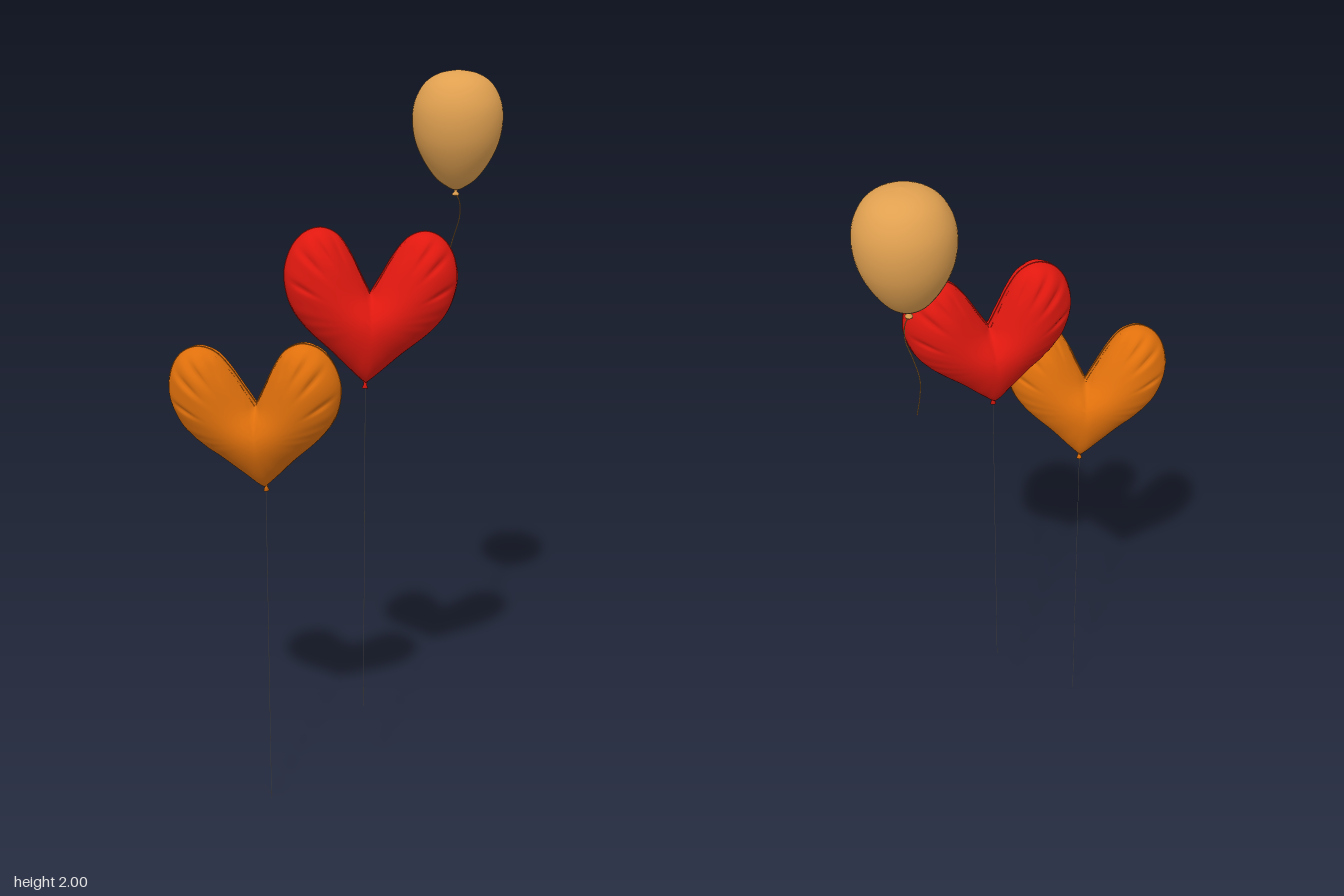
import * as THREE from 'three';
import { mergeVertices } from 'three/addons/utils/BufferGeometryUtils.js';

const V2 = (x, y) => new THREE.Vector2(x, y);
const V3 = (x, y, z) => new THREE.Vector3(x, y, z);
const material = (color) => new THREE.MeshStandardMaterial({ color });

function addMesh(parent, name, geometry, mat) {
  const mesh = new THREE.Mesh(geometry, mat);
  mesh.name = name;
  parent.add(mesh);
  return mesh;
}

// Closed heart outline, counter-clockwise, tip at the origin
function heartOutline(perHalf) {
  const half = new THREE.SplineCurve([
    [0, 0], [0.03, 0.025], [0.09, 0.08], [0.16, 0.14], [0.205, 0.2], [0.224, 0.275], [0.212, 0.34],
    [0.18, 0.385], [0.135, 0.402], [0.09, 0.385], [0.055, 0.34], [0.025, 0.285], [0, 0.24],
  ].map(([x, y]) => V2(x, y))).getSpacedPoints(perHalf);
  const mirrored = half.slice(1, -1).reverse().map((p) => V2(-p.x, p.y));
  return [...half, ...mirrored];
}

// Smooth distance to the outline, used to puff up the foil
function softDistance(x, y, outline, step) {
  let sum = 0;
  for (const q of outline) sum += step / Math.pow((x - q.x) ** 2 + (y - q.y) ** 2 + 1e-9, 1.5);
  return Math.sqrt(2 / sum);
}

function heartGeometry(outline, depth) {
  const rings = 26, n = outline.length;
  const centre = V2(0, 0.17);
  const step = outline.reduce((len, p, i) => len + p.distanceTo(outline[(i + 1) % n]), 0) / n;
  const bump = (v, width) => Math.exp(-((v / width) ** 2));
  const tucks = [0.24, 0.3, 0.335, 0.37, 0.63, 0.665, 0.7, 0.76];
  const points = [];
  let highest = 0;
  for (let r = 0; r <= rings; r++) {
    const s = 1 - Math.pow(1 - r / rings, 1.6);
    for (let i = 0; i < n; i++) {
      const p = centre.clone().lerp(outline[i], s);
      let z = r === rings ? 0 : Math.sqrt(softDistance(p.x, p.y, outline, step));
      highest = Math.max(highest, z);
      // fine puckers at the seam, tucks on the lobes, a fold below the cleft
      const u = i / n;
      z *= 1 + 0.035 * s ** 5 * Math.sin(u * 150 + 2 * Math.sin(u * 37));
      for (const t of tucks) z *= 1 - 0.12 * bump(u - t, 0.006) * bump(s - 0.82, 0.14);
      z *= 1 - 0.13 * bump(p.x, 0.012) * bump(p.y - 0.24, 0.07);
      points.push(p.x, p.y, z);
    }
  }
  const positions = [], index = [];
  for (const side of [1, -1]) {
    const base = positions.length / 3;
    for (let k = 0; k < points.length; k += 3) {
      positions.push(points[k], points[k + 1], side * points[k + 2] * depth / highest);
    }
    for (let r = 0; r < rings; r++) {
      for (let i = 0; i < n; i++) {
        const a = base + r * n + i, b = base + r * n + (i + 1) % n;
        const c = a + n, d = b + n;
        const faces = r === 0 ? [[a, c, d]] : [[a, c, d], [a, d, b]];
        for (const [f, g, h] of faces) index.push(...(side > 0 ? [f, g, h] : [f, h, g]));
      }
    }
  }
  const geometry = new THREE.BufferGeometry();
  geometry.setAttribute('position', new THREE.Float32BufferAttribute(positions, 3));
  geometry.setIndex(index);
  const merged = mergeVertices(geometry, 1e-5);
  merged.computeVertexNormals();
  return merged;
}

function createModel() {
  const model = new THREE.Group();
  const grey = material(0xcccccc);

  // Foil heart balloons, each hanging a straight string from its tip
  const outline = heartOutline(110);
  const foil = heartGeometry(outline, 0.086);
  const rim = new THREE.CatmullRomCurve3(outline.map((p) => V3(p.x, p.y, 0)), true);
  const seam = new THREE.TubeGeometry(rim, 220, 0.0015, 5, true);
  const neck = new THREE.LatheGeometry(
    [[0, -0.016], [0.008, -0.015], [0.004, -0.005], [0.006, 0.004], [0.013, 0.014]].map(([x, y]) => V2(x, y)), 16);
  const hearts = [
    { name: 'redHeart', color: 0xe0180f, tip: [0.095, 1.222, 0.093], turn: [-0.04, 0.35, -0.05], end: 0.265 },
    { name: 'orangeHeart', color: 0xe0700c, tip: [-0.14, 0.957, 0.225], turn: [0.15, 0.155, 0.06], end: 0 },
  ];
  for (const { name, color, tip, turn, end } of hearts) {
    const heart = new THREE.Group();
    heart.name = name;
    const mat = material(color);
    addMesh(heart, 'foilBody', foil, mat);
    addMesh(heart, 'seam', seam, mat);
    addMesh(heart, 'neck', neck, mat);
    heart.position.set(...tip);
    heart.rotation.set(...turn, 'YXZ');
    model.add(heart);
    const length = tip[1] - end;
    const string = addMesh(model, name + 'String', new THREE.CylinderGeometry(0.0008, 0.0008, length, 6), grey);
    string.position.set(tip[0], end + length / 2, tip[2]);
  }

  // Round latex balloon with its knot
  const round = new THREE.Group();
  round.name = 'roundBalloon';
  round.position.set(0.253, 0, -0.247);
  model.add(round);
  const tan = material(0xe0a050);
  const profile = new THREE.SplineCurve([
    [0.004, 1.684], [0.02, 1.69], [0.055, 1.715], [0.09, 1.763], [0.113, 1.815], [0.1215, 1.87],
    [0.115, 1.92], [0.09, 1.965], [0.05, 1.991], [0, 2],
  ].map(([x, y]) => V2(x, y))).getPoints(48);
  addMesh(round, 'latexBody', new THREE.LatheGeometry(profile, 48), tan);
  const knot = [[0, 1.672], [0.009, 1.669], [0.01, 1.673], [0.004, 1.68], [0.006, 1.688]];
  addMesh(round, 'knot', new THREE.LatheGeometry(knot.map(([x, y]) => V2(x, y)), 20), tan);

  // Curling string
  const curl = new THREE.CatmullRomCurve3([
    V3(0, 1.675, 0), V3(0.01, 1.65, -0.007), V3(0.011, 1.61, -0.007), V3(-0.004, 1.55, 0.003),
    V3(-0.016, 1.49, 0.011), V3(-0.014, 1.44, 0.011), V3(-0.006, 1.39, 0.003),
  ]);
  addMesh(round, 'curlingString', new THREE.TubeGeometry(curl, 50, 0.0015, 6), tan);
  return model;
}

export { createModel };
